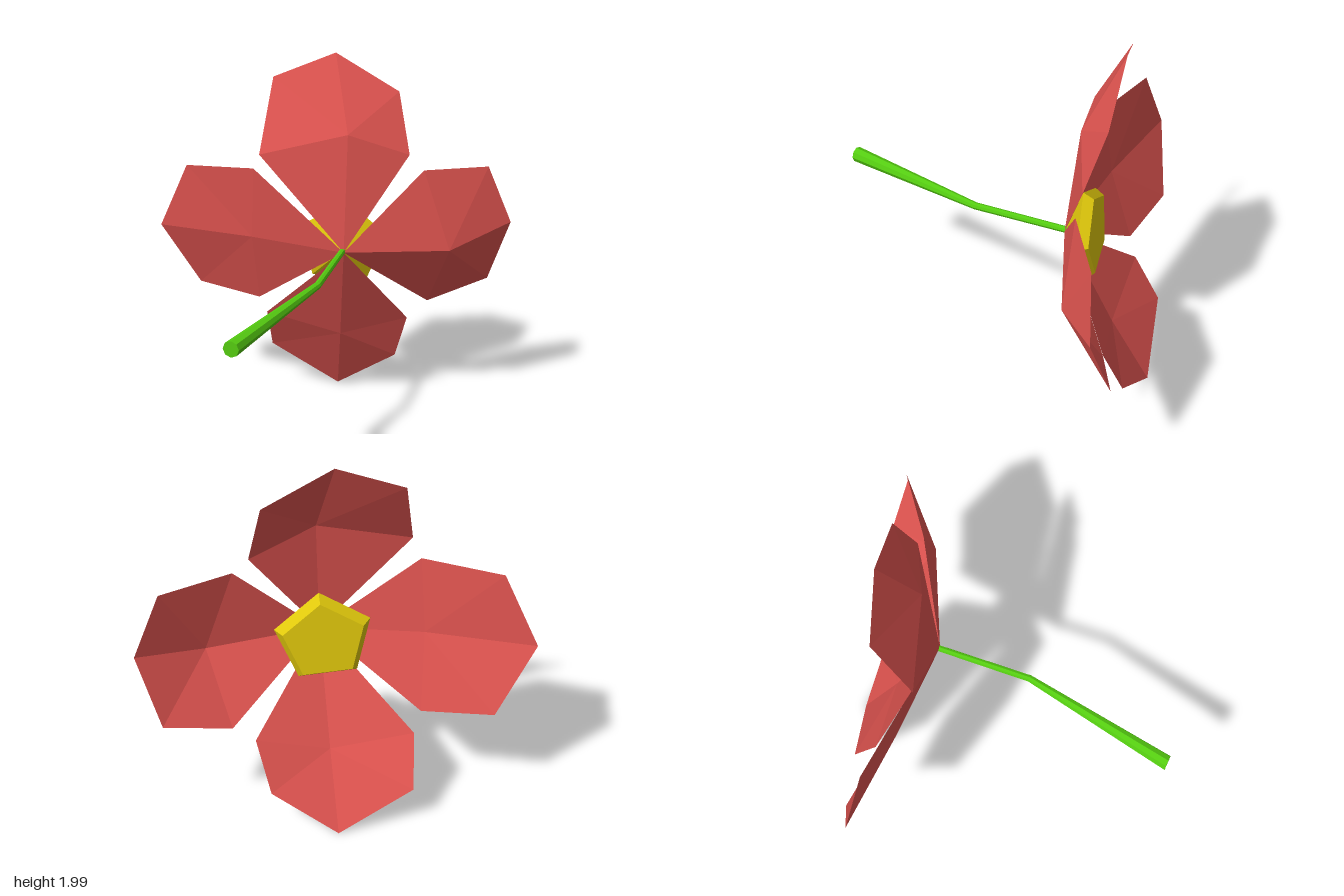
import * as THREE from 'three';

const paint = (color) => new THREE.MeshStandardMaterial({ color, flatShading: true, side: THREE.DoubleSide });

const BASE = [0.16, 0.97, -0.36];

// Each petal: raised middle point, then the outline from the base round through the tip
const PETALS = {
  topPetal: [[0.15, 1.6, -0.43],
    [0.44, 1.48, -0.6], [0.35, 1.8, -0.675], [0.02, 2, -0.59], [-0.29, 1.87, -0.47], [-0.29, 1.49, -0.27]],
  leftPetal: [[0.67, 0.96, -0.63],
    [0.51, 0.6, -0.78], [0.8, 0.71, -0.97], [0.93, 1.07, -0.92], [0.81, 1.39, -0.85], [0.52, 1.4, -0.61]],
  bottomPetal: [[0.06, 0.4, -0.6],
    [-0.355, 0.5, -0.52], [-0.38, 0.25, -0.66], [-0.02, 0.01, -0.79], [0.32, 0.23, -0.805], [0.41, 0.5, -0.73]],
  rightPetal: [[-0.37, 1.0, -0.345],
    [-0.34, 1.4, -0.305], [-0.75, 1.37, -0.335], [-0.93, 1, -0.36], [-0.75, 0.645, -0.485], [-0.38, 0.605, -0.47]],
};

// Fan of triangles round the middle point of a petal
function petalGeometry([middle, ...outline]) {
  const ring = [BASE, ...outline];
  const geometry = new THREE.BufferGeometry();
  const corners = ring.flatMap((p, i) => [...middle, ...p, ...ring[(i + 1) % ring.length]]);
  geometry.setAttribute('position', new THREE.Float32BufferAttribute(corners, 3));
  geometry.computeVertexNormals();
  return geometry;
}

// Tapered, bent stem: three rings of a cylinder moved onto the stem's path
function stemGeometry() {
  const path = [[0.15, 0.975, -0.37], [0.203, 0.96, 0.14], [0.095, 0.915, 0.97]];
  const radii = [0.017, 0.019, 0.041];
  const geometry = new THREE.CylinderGeometry(1, 1, 2, 8, 2);
  const pos = geometry.attributes.position;
  for (let i = 0; i < pos.count; i++) {
    const k = Math.round(pos.getY(i)) + 1;
    const [x, y, z] = path[k];
    pos.setXYZ(i, x + radii[k] * pos.getX(i), y - radii[k] * pos.getZ(i), z);
  }
  geometry.computeVertexNormals();
  return geometry;
}

export function createModel() {
  const model = new THREE.Group();
  const add = (name, geometry, material) => {
    const mesh = new THREE.Mesh(geometry, material);
    mesh.name = name;
    model.add(mesh);
    return mesh;
  };

  // Petals
  const red = paint(0xe05450);
  for (const [name, points] of Object.entries(PETALS)) add(name, petalGeometry(points), red);

  // Five-sided flower centre, opening away from the stem
  const profile = [[0, 0], [0.25, 0.11], [0.21, 0.16], [0, 0.16]].map(([r, h]) => new THREE.Vector2(r, h));
  const centre = add('flowerCentre', new THREE.LatheGeometry(profile, 5, 0.37), paint(0xe0c80c));
  centre.position.set(0.145, 0.975, -0.36);
  centre.quaternion.setFromUnitVectors(
    new THREE.Vector3(0, 1, 0), new THREE.Vector3(-0.3, 0.1, -1).normalize());

  // Stem
  add('stem', stemGeometry(), paint(0x55cc11));

  return model;
}
